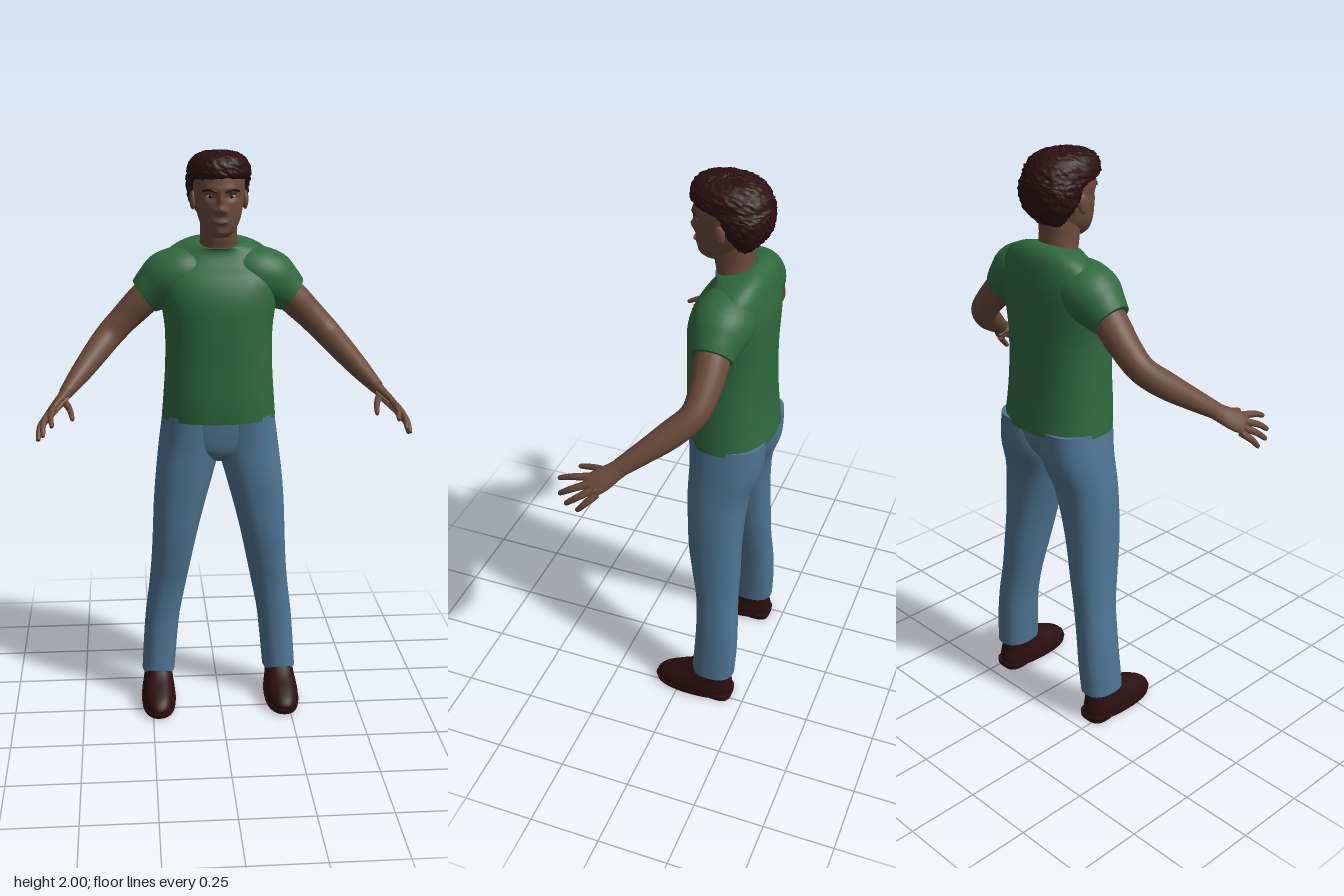
import * as THREE from 'three';

const V = (x, y, z) => new THREE.Vector3(x, y, z);
const paint = (name, color) => {
  const m = new THREE.MeshStandardMaterial({ color });
  m.name = name;
  return m;
};

// Smooth interpolation through rows of numbers
function sample(rows, t) {
  const f = t * (rows.length - 1);
  const i = Math.min(Math.floor(f), rows.length - 2), k = f - i;
  const at = (n) => rows[Math.max(0, Math.min(rows.length - 1, n))];
  const [a, b, c, d] = [at(i - 1), at(i), at(i + 1), at(i + 2)];
  return b.map((v, j) => v + 0.5 * k * (c[j] - a[j]
    + k * (2 * a[j] - 5 * v + 4 * c[j] - d[j] + k * (3 * (v - c[j]) + d[j] - a[j]))));
}

// Skin over rings; each ring is {c, u, v}: a centre and two half axes
function skin(rings, seg, n = 2, warp) {
  const pos = [], idx = [], pow = (q) => Math.sign(q) * Math.abs(q) ** (2 / n);
  const put = (p) => { if (warp) warp(p); pos.push(p.x, p.y, p.z); };
  const ring = ({ c, u, v }) => {
    for (let j = 0; j < seg; j++) {
      const a = (j / seg) * Math.PI * 2;
      put(c.clone().addScaledVector(u, pow(Math.cos(a))).addScaledVector(v, pow(Math.sin(a))));
    }
  };
  rings.forEach(ring);
  for (let i = 0; i < rings.length - 1; i++) for (let j = 0; j < seg; j++) {
    const a = i * seg + j, b = i * seg + (j + 1) % seg;
    idx.push(a, b, a + seg, b, b + seg, a + seg);
  }
  // End caps
  [rings[0], rings[rings.length - 1]].forEach((r, end) => {
    const start = pos.length / 3;
    ring(r);
    put(r.c.clone());
    for (let j = 0; j < seg; j++) {
      const a = start + j, b = start + (j + 1) % seg;
      idx.push(start + seg, end ? a : b, end ? b : a);
    }
  });
  const g = new THREE.BufferGeometry();
  g.setAttribute('position', new THREE.Float32BufferAttribute(pos, 3));
  g.setIndex(idx);
  g.computeVertexNormals();
  return g;
}

// Upright form: rows of [y, xMin, xMax, zFront, zBack], bottom to top
function upright(rows, { steps = 36, seg = 40, n = 2.3, warp } = {}) {
  const rings = [];
  for (let i = 0; i <= steps; i++) {
    const [y, x0, x1, zf, zb] = sample(rows, i / steps);
    rings.push({ c: V((x0 + x1) / 2, y, (zf + zb) / 2), u: V((x1 - x0) / 2, 0, 0), v: V(0, 0, -(zf - zb) / 2) });
  }
  return skin(rings, seg, n, warp);
}
const even = (rows) => rows.map(([y, w, zf, zb]) => [y, -w, w, zf, zb]);

// Limb: rows of [x, y, z, halfWidth, halfThickness]; "across" is the width direction
function limb(rows, across, steps = 24, seg = 20) {
  const rings = [], at = (t) => V(...sample(rows, t).slice(0, 3));
  for (let i = 0; i <= steps; i++) {
    const t = i / steps, [x, y, z, w, h] = sample(rows, t);
    const dir = at(Math.min(1, t + 0.02)).sub(at(Math.max(0, t - 0.02))).normalize();
    const u = across.clone().addScaledVector(dir, -across.dot(dir)).normalize();
    rings.push({ c: V(x, y, z), v: dir.clone().cross(u).multiplyScalar(h), u: u.multiplyScalar(w) });
  }
  return skin(rings, seg);
}

function mirrored(geo) {
  const g = geo.clone().scale(-1, 1, 1), ix = g.index.array;
  for (let i = 0; i < ix.length; i += 3) [ix[i], ix[i + 1]] = [ix[i + 1], ix[i]];
  g.computeVertexNormals();
  return g;
}

const blob = (x, y, z, rx, ry, rz) => new THREE.SphereGeometry(1, 20, 14).scale(rx, ry, rz).translate(x, y, z);

export function createModel() {
  const model = new THREE.Group();
  model.name = 'standingMan';
  const skinTone = paint('brown skin', 0x6b4b3b), palmTone = paint('light palm', 0x95745c);
  const shirt = paint('green shirt', 0x30693f), denim = paint('blue denim', 0x4f7592);
  const hairTone = paint('dark hair', 0x2b0f10), leather = paint('dark leather', 0x2c0f11);
  const eyeWhite = paint('eye white', 0x8f8885), dark = paint('dark iris', 0x1c1412);
  const lipTone = paint('lips', 0x5b4746);

  const add = (name, geo, mat) => {
    const m = new THREE.Mesh(geo, mat);
    m.name = name;
    model.add(m);
  };
  const pair = (name, geo, mat) => {
    add(name + 'Left', geo, mat);
    add(name + 'Right', mirrored(geo), mat);
  };

  // Shirt body, with a neckline dipping to the front
  add('shirtBody', upright(even([
    [1.085, 0.2, 0.03, -0.265], [1.17, 0.193, 0.035, -0.255], [1.28, 0.186, 0.033, -0.248],
    [1.4, 0.186, 0.033, -0.247], [1.5, 0.2, 0.028, -0.25], [1.57, 0.21, 0.005, -0.248],
    [1.62, 0.2, -0.03, -0.24], [1.66, 0.165, -0.05, -0.225], [1.685, 0.115, -0.055, -0.2], [1.695, 0.076, -0.05, -0.18],
  ]), { warp: (p) => { p.y -= Math.max(0, Math.min(1, (p.y - 1.6) / 0.08)) * (p.z + 0.115) * 0.28; } }), shirt);
  pair('sleeve', limb([
    [0.06, 1.6, -0.125, 0.08, 0.07], [0.12, 1.59, -0.125, 0.1, 0.09], [0.175, 1.563, -0.125, 0.098, 0.098],
    [0.22, 1.533, -0.125, 0.08, 0.082], [0.254, 1.508, -0.125, 0.067, 0.066],
  ], V(0, 0, 1), 20, 32), shirt);

  // Trousers
  add('trouserSeat', upright(even([
    [0.935, 0.04, -0.04, -0.16], [0.97, 0.12, -0.01, -0.2], [1.03, 0.19, 0.0, -0.235], [1.12, 0.192, 0.005, -0.248],
  ])), denim);
  pair('trouserLeg', upright([
    [0.11, 0.165, 0.284, -0.048, -0.205], [0.22, 0.155, 0.277, -0.055, -0.21], [0.33, 0.143, 0.268, -0.058, -0.208],
    [0.44, 0.122, 0.254, -0.052, -0.202], [0.55, 0.1, 0.244, -0.032, -0.202], [0.66, 0.077, 0.238, -0.014, -0.2],
    [0.77, 0.05, 0.233, -0.006, -0.203], [0.88, 0.02, 0.224, 0, -0.215], [0.99, -0.008, 0.211, 0, -0.25],
    [1.1, 0, 0.196, 0.005, -0.255],
  ]), denim);

  // Shoes: upper, sole and heel
  pair('shoeUpper', upright([
    [0.015, 0.168, 0.286, 0.088, -0.2], [0.035, 0.166, 0.288, 0.093, -0.203], [0.058, 0.168, 0.285, 0.075, -0.2],
    [0.08, 0.172, 0.28, 0.035, -0.195], [0.105, 0.174, 0.276, -0.02, -0.193], [0.135, 0.178, 0.272, -0.06, -0.195],
  ], { steps: 16 }), leather);
  pair('shoeSole', upright([
    [0.006, 0.166, 0.288, 0.093, -0.2], [0.024, 0.164, 0.29, 0.098, -0.205],
  ], { steps: 1 }), leather);
  pair('shoeHeel', upright([
    [0, 0.176, 0.278, -0.1, -0.202], [0.02, 0.174, 0.28, -0.095, -0.204],
  ], { steps: 1, n: 3 }), leather);

  // Arms and hands
  const across = V(0.4, -0.69, -0.6);
  pair('arm', limb([
    [0.22, 1.535, -0.125, 0.056, 0.056], [0.27, 1.485, -0.127, 0.056, 0.055], [0.325, 1.43, -0.127, 0.05, 0.05],
    [0.38, 1.373, -0.112, 0.045, 0.047], [0.43, 1.32, -0.055, 0.045, 0.042], [0.48, 1.268, 0.015, 0.037, 0.034],
    [0.525, 1.222, 0.08, 0.029, 0.023],
  ], across, 36, 24), skinTone);
  const palmRows = [
    [0.515, 1.231, 0.065, 0.028, 0.023], [0.535, 1.211, 0.093, 0.031, 0.019],
    [0.558, 1.19, 0.123, 0.037, 0.016], [0.577, 1.172, 0.152, 0.037, 0.013], [0.584, 1.165, 0.162, 0.03, 0.008],
  ];
  pair('hand', limb(palmRows, across), skinTone);
  pair('palm', limb(palmRows.slice(1).map(([x, y, z, w, h]) =>
    [x - h * 0.64, y - h * 0.49, z + h * 0.14, w * 0.8, 0.006]), across), palmTone);
  const fingers = {
    indexFinger: [[0.562, 1.193, 0.16], [0.57, 1.184, 0.215], [0.565, 1.162, 0.265]],
    middleFinger: [[0.576, 1.178, 0.155], [0.594, 1.157, 0.208], [0.595, 1.127, 0.253]],
    ringFinger: [[0.584, 1.163, 0.145], [0.607, 1.138, 0.187], [0.612, 1.107, 0.226]],
    littleFinger: [[0.587, 1.15, 0.132], [0.61, 1.122, 0.161], [0.615, 1.093, 0.187]],
    thumb: [[0.53, 1.2, 0.102], [0.51, 1.189, 0.165], [0.5, 1.172, 0.222]],
  };
  for (const [name, [a, b, c]] of Object.entries(fingers)) {
    const tip = c.map((v, i) => v + (c[i] - b[i]) * 0.08);
    pair(name, limb([[...a, 0.013, 0.012], [...b, 0.011, 0.01], [...c, 0.008, 0.007], [...tip, 0.002, 0.002]], across, 15, 10), skinTone);
  }

  // Neck, and a head with the face pushed into shape
  add('neck', upright(even([
    [1.62, 0.075, -0.05, -0.19], [1.67, 0.067, -0.055, -0.178], [1.72, 0.062, -0.045, -0.17], [1.79, 0.064, -0.04, -0.17],
  ]), { steps: 12 }), skinTone);
  const bump = (x, y, sx, sy) => Math.exp(-((x / sx) ** 2) - (y / sy) ** 2);
  const face = (p) => {
    if (p.z < -0.07) return;
    const x = Math.abs(p.x), y = p.y;
    p.z += 0.018 * bump(x, y - 1.814, 0.014, 0.014) + 0.012 * bump(x, y - 1.845, 0.01, 0.028)
      + 0.006 * bump(x - 0.016, y - 1.81, 0.008, 0.009) - 0.012 * bump(x - 0.035, y - 1.857, 0.02, 0.012)
      + 0.005 * bump(x - 0.03, y - 1.882, 0.03, 0.01) + 0.007 * bump(x, y - 1.775, 0.024, 0.01)
      + 0.006 * bump(x, y - 1.737, 0.02, 0.012);
  };
  const head = upright(even([
    [1.72, 0.028, -0.008, -0.08], [1.738, 0.048, 0.008, -0.11], [1.77, 0.067, 0.016, -0.15], [1.81, 0.078, 0.019, -0.18],
    [1.85, 0.084, 0.021, -0.2], [1.9, 0.087, 0.024, -0.205], [1.945, 0.08, 0.01, -0.195], [1.98, 0.05, -0.03, -0.16],
  ]), { steps: 64, seg: 96, n: 2.2, warp: face });
  add('head', head, skinTone);
  pair('ear', blob(0.088, 1.838, -0.085, 0.011, 0.032, 0.02), skinTone);

  // Face details seated on the nearest point of the head
  const onFace = (x, y, lift = 0) => {
    const p = head.attributes.position;
    let best = 1, z = 0;
    for (let i = 0; i < p.count; i++) {
      const d = Math.hypot(p.getX(i) - x, p.getY(i) - y);
      if (p.getZ(i) > -0.06 && d < best) { best = d; z = p.getZ(i); }
    }
    return V(x, y, z + lift);
  };
  const eye = onFace(0.035, 1.857);
  pair('eye', blob(eye.x, eye.y, eye.z - 0.004, 0.014, 0.007, 0.008), eyeWhite);
  pair('iris', blob(eye.x, eye.y, eye.z + 0.002, 0.006, 0.006, 0.004), dark);
  const browPath = new THREE.CatmullRomCurve3([onFace(0.014, 1.873), onFace(0.036, 1.88), onFace(0.06, 1.875)]);
  pair('eyebrow', new THREE.TubeGeometry(browPath, 12, 0.004, 8), hairTone);
  const mouth = onFace(0, 1.775);
  add('lips', blob(0, 1.775, mouth.z - 0.003, 0.024, 0.008, 0.006), lipTone);

  // Hair: a rough cap, low at the nape and lifted over the forehead
  let seed = 7;
  const rnd = () => (seed = (seed * 16807) % 2147483647) / 2147483647 - 0.5;
  add('hair', upright(even([
    [1.77, 0.05, -0.12, -0.17], [1.8, 0.078, -0.11, -0.2], [1.83, 0.097, -0.08, -0.222], [1.87, 0.105, -0.06, -0.23],
    [1.9, 0.107, -0.035, -0.23], [1.918, 0.107, 0.026, -0.227], [1.95, 0.103, 0.032, -0.213],
    [1.978, 0.085, 0.018, -0.188], [1.993, 0.055, -0.02, -0.155], [1.998, 0.015, -0.07, -0.11],
  ]), {
    steps: 48, seg: 72, n: 2.2,
    warp: (p) => { p.x += rnd() * 0.008; p.y += rnd() * 0.005; p.z += rnd() * 0.008; },
  }), hairTone);

  // Centre front to back
  model.children.forEach((m) => m.geometry.computeBoundingBox());
  return model;
}
